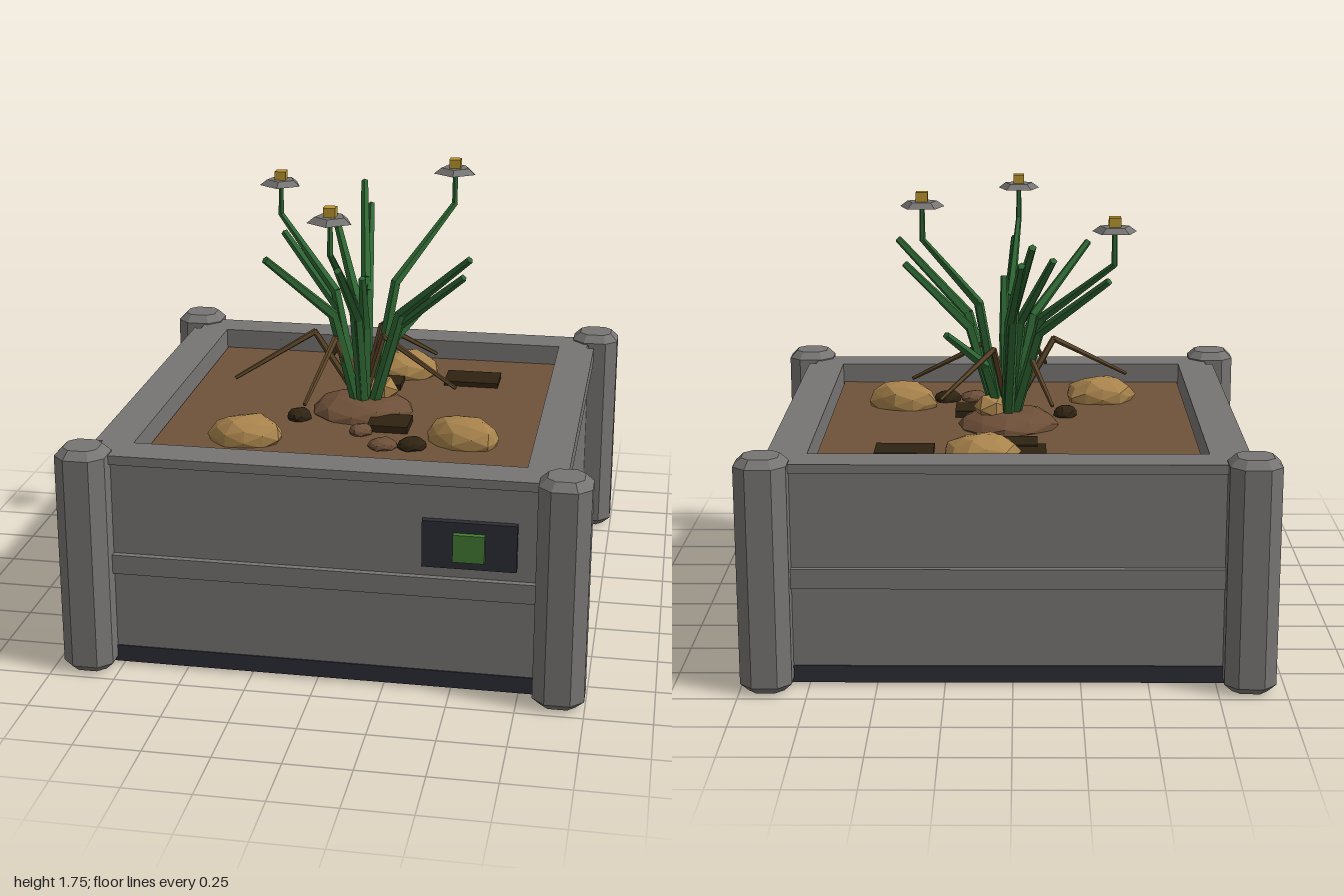
import * as THREE from 'three';

const mat = (name, color, flatShading = true) => {
  const m = new THREE.MeshStandardMaterial({ color, flatShading });
  m.name = name;
  return m;
};

export function createModel() {
  const concrete = mat('concrete', 0x777573);
  const dark = mat('darkMetal', 0x2c2c36);
  const soil = mat('soil', 0x6e5339);
  const stone = mat('sandstone', 0xa8834c);
  const mulch = mat('mulch', 0x2f2312);
  const clay = mat('clay', 0x6d4f38);
  const leaf = mat('leafGreen', 0x2e6633);
  const screen = mat('screenGreen', 0x447a34);
  const yellow = mat('yellow', 0xb8942e);
  const twigMat = mat('driedTwig', 0x5c4629);

  const model = new THREE.Group();
  model.name = 'planter';
  const CX = 0.0175;

  const add = (name, geo, material, x, y, z) => {
    const mesh = new THREE.Mesh(geo, material);
    mesh.name = name;
    mesh.position.set(x, y, z);
    model.add(mesh);
    return mesh;
  };
  // box given by its size, centre and bottom height
  const box = (name, material, w, h, d, x, y0, z) =>
    add(name, new THREE.BoxGeometry(w, h, d), material, x, y0 + h / 2, z);

  // chamfered corner posts
  const a = 0.065, c = 0.035;
  const octagon = new THREE.Shape([
    [a, -c], [a, c], [c, a], [-c, a], [-a, c], [-a, -c], [-c, -a], [c, -a],
  ].map(([x, y]) => new THREE.Vector2(x, y)));
  const postGeo = new THREE.ExtrudeGeometry(octagon, {
    depth: 0.825, bevelEnabled: true, bevelThickness: 0.03, bevelSize: 0.03, bevelSegments: 1,
  });
  postGeo.rotateX(-Math.PI / 2);
  for (const sx of [-1, 1]) for (const sz of [-1, 1])
    add('cornerPost', postGeo, concrete, CX + sx * 0.885, 0.03, sz * 0.883);

  // walls, rim caps and middle bands
  for (const s of [-1, 1]) {
    box('longWall', concrete, 1.71, 0.745, 0.125, CX, 0.07, s * 0.7975);
    box('longRim', concrete, 1.71, 0.035, 0.15, CX, 0.815, s * 0.81);
    box('middleBand', concrete, 1.66, 0.075, 0.03, CX, 0.38, s * 0.87);
    box('sideWall', concrete, 0.125, 0.775, 1.6, CX + s * 0.7975, 0.07, 0);
    box('sideRim', concrete, 0.15, 0.07, 1.47, CX + s * 0.81, 0.78, 0);
  }
  box('base', dark, 1.73, 0.065, 1.73, CX, 0.01, 0);
  box('soilBed', soil, 1.46, 0.69, 1.46, CX, 0.08, 0);

  // control panel on the front wall
  box('controlPanel', dark, 0.345, 0.18, 0.04, 0.563, 0.5, 0.867);
  box('panelScreen', screen, 0.115, 0.105, 0.03, 0.563, 0.535, 0.895);

  // slanted drain spout on the right side
  const spout = add('drainSpout', new THREE.CylinderGeometry(0.05, 0.05, 0.2, 8), dark, -0.89, 0.185, 0.275);
  spout.rotation.z = Math.PI / 2 + 0.42;

  // uneven faceted lumps
  const lump = (name, material, x, y, z, rx, ry, rz, turn = 0, detail = 1) => {
    const geo = new THREE.IcosahedronGeometry(1, detail);
    const p = geo.attributes.position, v = new THREE.Vector3();
    for (let i = 0; i < p.count; i++) {
      v.fromBufferAttribute(p, i);
      const k = 0.96 + 0.07 * Math.sin(v.x * 5.1 + turn * 3) * Math.cos(v.z * 4.3 + v.y * 2 + turn);
      p.setXYZ(i, v.x * k * rx, v.y * k * ry, v.z * k * rz);
    }
    geo.computeVertexNormals();
    add(name, geo, material, x, y, z).rotation.y = turn;
  };
  lump('rock', stone, 0.12, 0.79, -0.51, 0.15, 0.08, 0.125, 0.2);
  lump('rock', stone, -0.36, 0.79, 0.415, 0.15, 0.085, 0.11, 0.1);
  lump('rock', stone, 0.465, 0.79, 0.305, 0.155, 0.09, 0.105, -0.3);
  lump('rootMound', clay, 0.02, 0.775, -0.01, 0.21, 0.07, 0.2, 0.5);
  lump('bulb', stone, 0.09, 0.85, -0.04, 0.075, 0.06, 0.07, 0.4, 0);
  lump('pebble', clay, 0.17, 0.78, 0.41, 0.06, 0.03, 0.05, 0.3);
  lump('pebble', clay, 0.06, 0.78, 0.27, 0.05, 0.03, 0.045, 0.8);
  lump('pebble', mulch, 0.28, 0.78, 0.395, 0.06, 0.035, 0.05, 0.4);
  lump('pebble', mulch, -0.21, 0.78, 0.14, 0.055, 0.035, 0.05, 1.0);

  // flat bark chips
  for (const [x, z, w, d, h] of [
    [0.415, -0.44, 0.225, 0.15, 0.028], [0.02, -0.335, 0.225, 0.13, 0.03],
    [-0.02, -0.435, 0.21, 0.15, 0.024], [0.16, 0.175, 0.16, 0.15, 0.035],
  ]) box('barkChip', mulch, w, h, d, x, 0.762, z);

  // jointed rods for leaves, stems and twigs
  const UP = new THREE.Vector3(0, 1, 0);
  const rods = (name, material, points, radii) => {
    const v = points.map((p) => new THREE.Vector3(...p));
    for (let i = 0; i < v.length - 1; i++) {
      const dir = v[i + 1].clone().sub(v[i]);
      const geo = new THREE.CylinderGeometry(radii[i + 1], radii[i], dir.length() + 0.008, 5);
      const m = v[i].clone().add(v[i + 1]).multiplyScalar(0.5);
      add(name, geo, material, m.x, m.y, m.z).quaternion.setFromUnitVectors(UP, dir.normalize());
    }
  };

  // leaves fan out from the centre with one bend
  for (const [x, y, z] of [
    [-0.07, 1.58, -0.57], [-0.03, 1.5, -0.5], [-0.15, 1.49, -0.33],
    [0.47, 1.48, 0.25], [0.44, 1.39, 0.18], [-0.3, 1.46, 0.31],
    [-0.36, 1.41, -0.32], [0.0, 1.46, 0.42], [0.26, 1.18, -0.22], [0.04, 1.35, 0.12],
  ]) {
    rods('leaf', leaf, [
      [0.03 + x * 0.08, 0.8, z * 0.08],
      [0.025 + x * 0.34, 0.8 + (y - 0.8) * 0.6, z * 0.34],
      [x, y, z],
    ], [0.025, 0.022, 0.015]);
  }

  // flowers on upright stalks
  for (const [x, y, z] of [[-0.38, 1.605, -0.35], [-0.018, 1.66, 0.475], [0.345, 1.692, -0.297]]) {
    const bend = y - 0.125;
    rods('flowerStem', leaf, [
      [0.03 + x * 0.08, 0.8, z * 0.08],
      [0.02 + x * 0.34, 0.8 + (bend - 0.8) * 0.63, z * 0.34],
      [x, bend, z], [x, y, z],
    ], [0.022, 0.02, 0.012, 0.01]);
    add('petals', new THREE.CylinderGeometry(0.058, 0.088, 0.022, 5), concrete, x, y + 0.011, z);
    box('flowerCentre', yellow, 0.045, 0.042, 0.045, x, y + 0.015, z);
  }

  // dry twigs rise and droop to the soil
  for (const [peak, tip] of [
    [[-0.16, 1.11, 0.06], [-0.455, 0.94, 0.18]],
    [[0.11, 1.1, 0.04], [0.41, 0.93, 0.13]],
    [[0.08, 1.1, -0.11], [0.28, 0.94, -0.27]],
    [[-0.07, 1.1, 0.11], [-0.13, 0.93, 0.42]],
    [[-0.07, 1.06, -0.09], [-0.15, 0.91, -0.25]],
  ]) rods('dryTwig', twigMat, [[0.02, 0.8, 0], peak, tip], [0.016, 0.013, 0.008]);

  return model;
}
